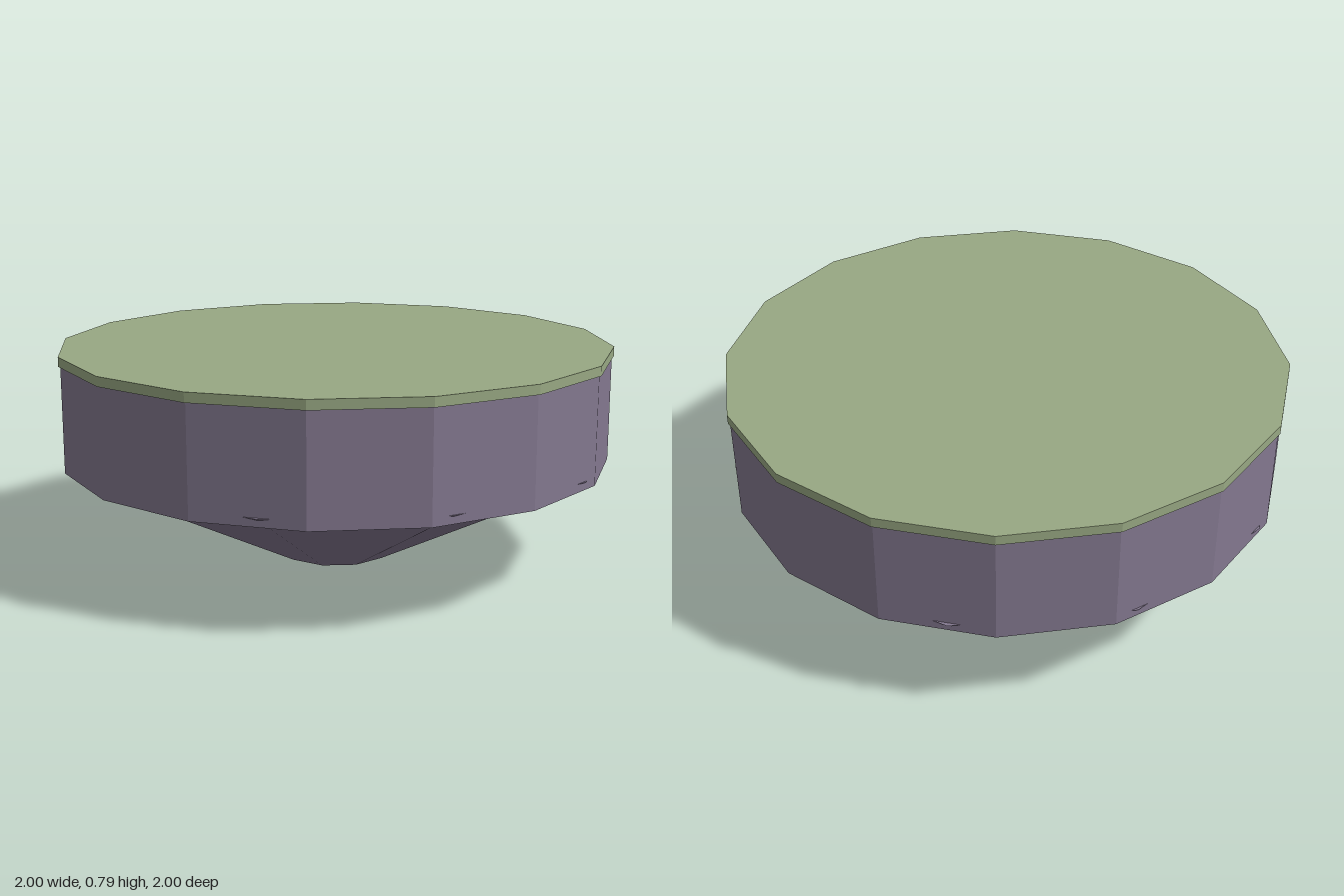
import * as THREE from 'three';

export function createModel() {
  const group = new THREE.Group();
  const earth = new THREE.MeshStandardMaterial({ color: 0x83788f, flatShading: true });
  const grass = new THREE.MeshStandardMaterial({ color: 0x98a883, flatShading: true });

  // A closed, faceted disc or cone section between two heights
  function section(name, rTop, rBottom, y0, y1, sides, material) {
    const geometry = new THREE.CylinderGeometry(rTop, rBottom, y1 - y0, sides);
    const mesh = new THREE.Mesh(geometry, material);
    mesh.name = name;
    mesh.position.y = (y0 + y1) / 2;
    group.add(mesh);
  }

  // Tapered underside, its top corners just piercing the drum wall
  section('taperedBase', 0.99, 0.2, 0, 0.403, 10, earth);
  // Thick drum and the thin cap that slightly overhangs it
  section('drum', 0.993, 0.993, 0.373, 0.753, 16, earth);
  section('grassCap', 1, 1, 0.753, 0.787, 16, grass);

  return group;
}
